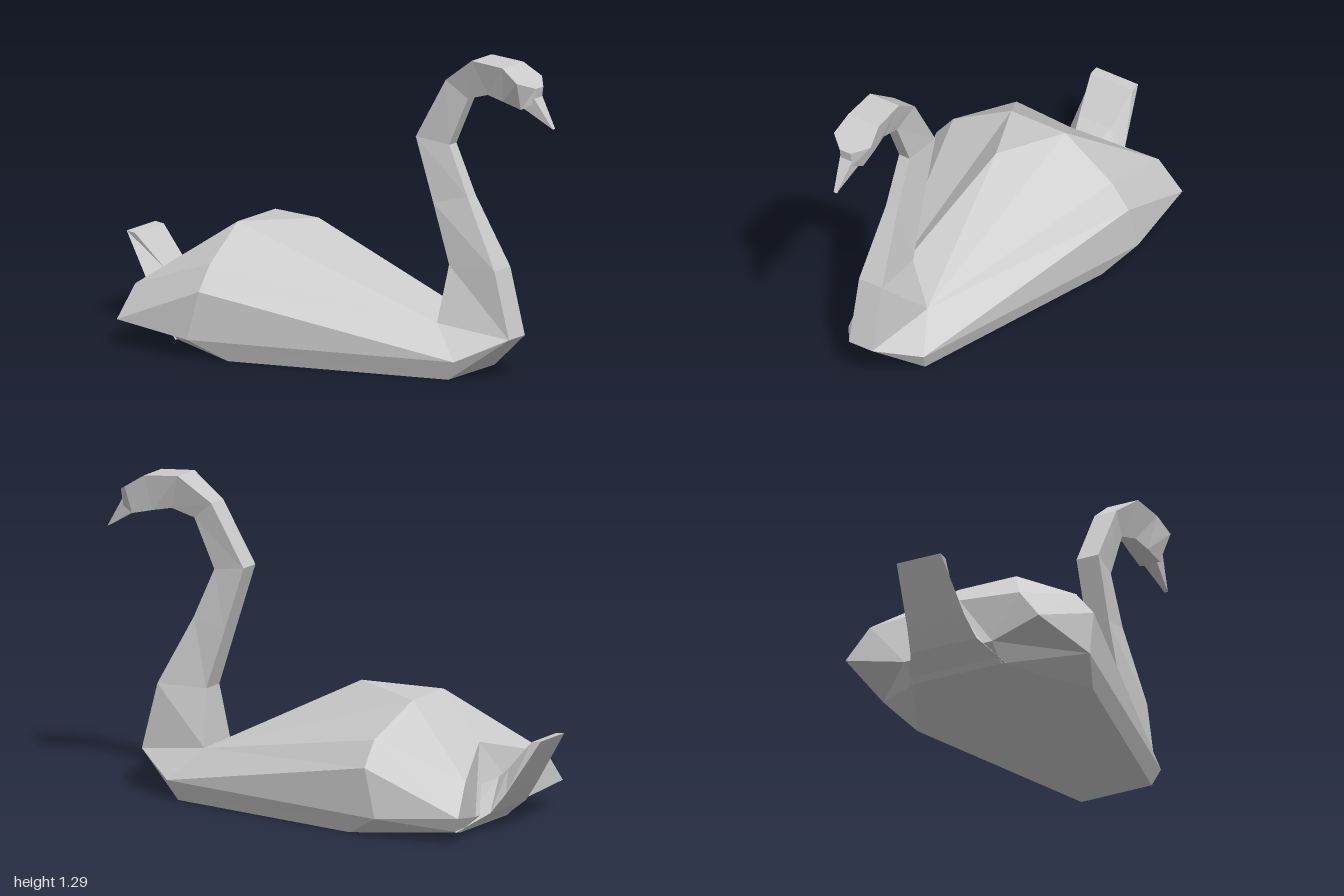
import * as THREE from 'three';

const material = new THREE.MeshStandardMaterial({ color: 0xcccccc, flatShading: true, side: THREE.DoubleSide });

function meshFrom(name, positions) {
  const geometry = new THREE.BufferGeometry();
  geometry.setAttribute('position', new THREE.Float32BufferAttribute(positions, 3));
  geometry.computeVertexNormals();
  const mesh = new THREE.Mesh(geometry, material);
  mesh.name = name;
  return mesh;
}

// Lofts four-cornered rings; each row is [topX, topY, topHalfWidth, bottomX, bottomY, bottomHalfWidth]
function loft(name, rows) {
  const rings = rows.map(([tx, ty, tw, bx, by, bw]) =>
    [[tx, ty, tw], [tx, ty, -tw], [bx, by, -bw], [bx, by, bw]]);
  const out = [];
  const quad = (a, b, c, d) => out.push(...a, ...b, ...c, ...a, ...c, ...d);
  for (let i = 0; i < rings.length - 1; i++) {
    const r = rings[i], s = rings[i + 1];
    for (let j = 0; j < 4; j++) {
      const k = (j + 1) % 4;
      quad(r[j], s[j], s[k], r[k]);
    }
  }
  const [first, last] = [rings[0], rings[rings.length - 1]];
  quad(...first);
  quad(...[...last].reverse());
  return meshFrom(name, out);
}

// Faceted body with folded wings: named corners of one half, mirrored across z
function body() {
  const p = {
    peak: [-0.14, 0.53, 0],
    ridge: [-0.44, 0.5, 0.13],
    shoulder: [-0.4, 0.38, 0.38],
    side: [-0.4, 0.28, 0.46],
    flank: [-0.45, 0.08, 0.47],
    keel: [-0.3, 0, 0.4],
    notch: [-0.67, 0.33, 0],
    tipTop: [-0.79, 0.24, 0.34],
    tip: [-0.81, 0.11, 0.44],
    rump: [-0.76, 0.07, 0.2],
    rear: [-0.69, 0, 0.2],
    nape: [0.51, 0.21, 0.11],
    breast: [0.82, 0.17, 0.055],
    chest: [0.64, 0.08, 0.18],
    bow: [0.6, 0, 0.16],
  };
  const half = [
    'peak ridge nape', 'ridge shoulder nape', 'shoulder side nape', 'side chest nape',
    'nape chest breast', 'side flank chest', 'flank keel bow', 'flank bow chest',
    'chest bow breast', 'ridge notch tipTop', 'ridge tipTop shoulder',
    'shoulder tipTop tip', 'shoulder tip side', 'side tip flank',
    'tip tipTop rump', 'tipTop notch rump', 'tip rump flank',
    'flank rump rear', 'flank rear keel',
  ];
  const centre = new THREE.Vector3(-0.1, 0.2, 0);
  const out = [];
  // Adds a triangle with its front turned away from the body's centre
  const tri = (a, b, c) => {
    const [va, vb, vc] = [a, b, c].map((q) => new THREE.Vector3(...q));
    const n = vb.clone().sub(va).cross(vc.clone().sub(va));
    if (n.dot(va.clone().sub(centre)) < 0) [b, c] = [c, b];
    out.push(...a, ...b, ...c);
  };
  const mirror = ([x, y, z]) => [x, y, -z];
  for (const face of half) {
    const corners = face.split(' ').map((k) => p[k]);
    tri(...corners);
    tri(...corners.map(mirror));
  }
  // Faces that span the centre line
  const span = (a, b) => {
    tri(p[a], p[b], mirror(p[b]));
    tri(p[a], mirror(p[b]), mirror(p[a]));
  };
  for (const [a, b] of [['peak', 'ridge'], ['notch', 'ridge'], ['peak', 'nape'], ['notch', 'rump']]) {
    tri(p[a], p[b], mirror(p[b]));
  }
  span('nape', 'breast');
  span('breast', 'bow');
  span('bow', 'keel');
  span('keel', 'rear');
  span('rear', 'rump');
  return meshFrom('body', out);
}

export function createModel() {
  const group = new THREE.Group();
  group.name = 'swan';
  group.add(body());

  // Curved neck, from the breast up to the back of the head
  group.add(loft('neck', [
    [0.51, 0.21, 0.11, 0.82, 0.17, 0.055],
    [0.53, 0.44, 0.055, 0.75, 0.44, 0.055],
    [0.45, 0.68, 0.05, 0.6, 0.72, 0.028],
    [0.365, 0.94, 0.05, 0.51, 0.92, 0.025],
    [0.51, 1.19, 0.05, 0.6, 1.12, 0.025],
    [0.65, 1.29, 0.07, 0.7, 1.15, 0.03],
  ]));

  // Head, widening at the brow and closing to the face
  group.add(loft('head', [
    [0.65, 1.29, 0.07, 0.7, 1.15, 0.03],
    [0.8, 1.28, 0.073, 0.78, 1.135, 0.04],
    [0.88, 1.23, 0.088, 0.87, 1.115, 0.045],
    [0.93, 1.205, 0.026, 0.92, 1.14, 0.026],
  ]));

  // Downward pointing beak
  group.add(loft('beak', [
    [0.92, 1.17, 0.03, 0.87, 1.12, 0.03],
    [1, 1.045, 0.008, 0.985, 1.052, 0.008],
  ]));

  // Upturned tail
  group.add(loft('tail', [
    [-0.96, 0.375, 0.1, -1, 0.38, 0.1],
    [-0.84, 0.25, 0.075, -0.86, 0.16, 0.13],
    [-0.79, 0.21, 0.06, -0.8, 0.08, 0.15],
    [-0.66, 0.15, 0.1, -0.68, 0, 0.22],
  ]));
  return group;
}
